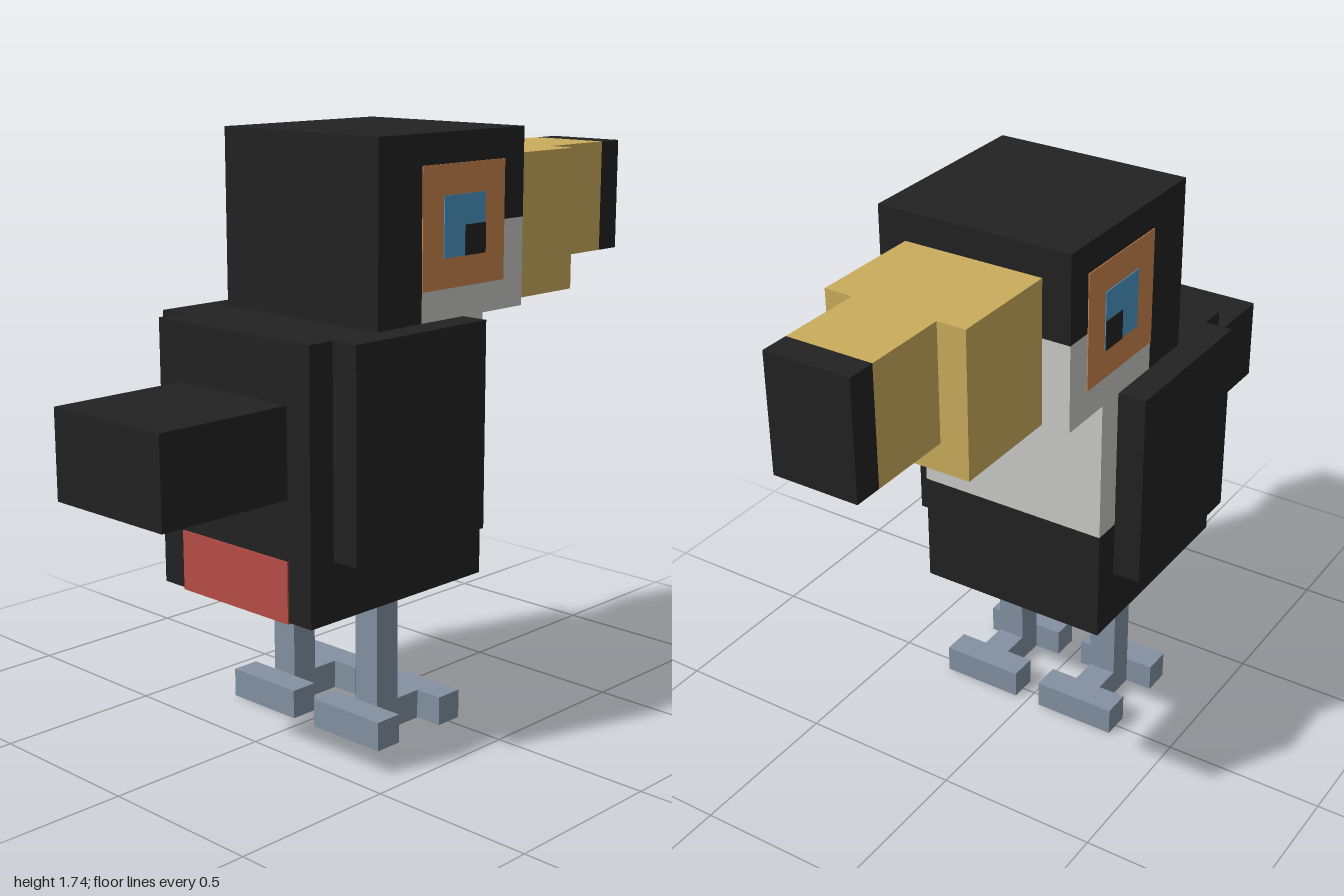
import * as THREE from 'three';

const U = 2 / 23; // one grid cell; x runs 0..23 from tail to beak tip, z is centred

const mat = (name, color) => {
  const m = new THREE.MeshStandardMaterial({ color });
  m.name = name;
  return m;
};

export function createModel() {
  const black = mat('black plumage', 0x222222);
  const white = mat('pale grey plumage', 0xcacac8);
  const gold = mat('gold beak', 0xc9ac5b);
  const orange = mat('orange skin', 0xcc8550);
  const blue = mat('blue eye', 0x4c96c5);
  const slate = mat('slate legs', 0x8491a3);
  const red = mat('red undertail', 0xb94d45);

  const model = new THREE.Group();

  // Box between two corners in grid cells
  function block(parent, name, material, [x0, x1], [y0, y1], [z0, z1]) {
    const geo = new THREE.BoxGeometry((x1 - x0) * U, (y1 - y0) * U, (z1 - z0) * U);
    const mesh = new THREE.Mesh(geo, material);
    mesh.name = name;
    mesh.position.set(((x0 + x1) / 2) * U - 1, ((y0 + y1) / 2) * U, ((z0 + z1) / 2) * U);
    parent.add(mesh);
  }
  function group(name) {
    const g = new THREE.Group();
    g.name = name;
    model.add(g);
    return g;
  }
  const wide = [-3.5, 3.5], mid = [-2.5, 2.5], slim = [-1.5, 1.5];

  // Body, with pale breast and red undertail
  const body = group('body');
  block(body, 'torso', black, [5, 12], [5, 14], wide);
  block(body, 'belly', black, [12, 13], [5, 9], wide);
  block(body, 'breast', white, [12, 13], [9, 14], wide);
  block(body, 'undertailBack', red, [4.95, 5], [5, 7], mid);
  block(body, 'undertailBottom', red, [4.95, 7], [4.95, 5], mid);
  block(body, 'tail', black, [0, 5], [9, 12], mid);

  // Head, with pale throat
  const head = group('head');
  block(head, 'nape', black, [8, 10], [14, 20], wide);
  block(head, 'crown', black, [10, 15], [17, 20], wide);
  block(head, 'throat', white, [10, 15], [14, 17], wide);

  // Beak
  const beak = group('beak');
  block(beak, 'beakBase', gold, [15, 19], [14, 19], mid);
  block(beak, 'beakFront', gold, [19, 22], [15, 19], slim);
  block(beak, 'beakTip', black, [22, 23], [15, 19], slim);

  // Paired parts
  for (const s of [1, -1]) {
    const side = s > 0 ? 'left' : 'right';
    const span = (a, b) => (s > 0 ? [a, b] : [-b, -a]);

    block(body, side + 'Wing', black, [6, 12], [7, 14], span(3.5, 4.5));

    const eye = group(side + 'Eye');
    block(eye, 'eyePatch', orange, [10, 14], [15, 19], span(3.5, 3.53));
    block(eye, 'iris', blue, [11, 13], [16, 18], span(3.53, 3.56));
    block(eye, 'pupil', black, [12, 13], [16, 17], span(3.56, 3.59));

    const leg = group(side + 'Leg');
    block(leg, 'shin', slate, [9, 10], [1, 5], span(1.5, 2.5));
    block(leg, 'sole', slate, [9, 11], [0, 1], span(1.5, 2.5));
    block(leg, 'frontToes', slate, [11, 12], [0, 1], span(0.5, 3.5));
    block(leg, 'backToes', slate, [8, 9], [0, 1], span(0.5, 3.5));
  }

  return model;
}
